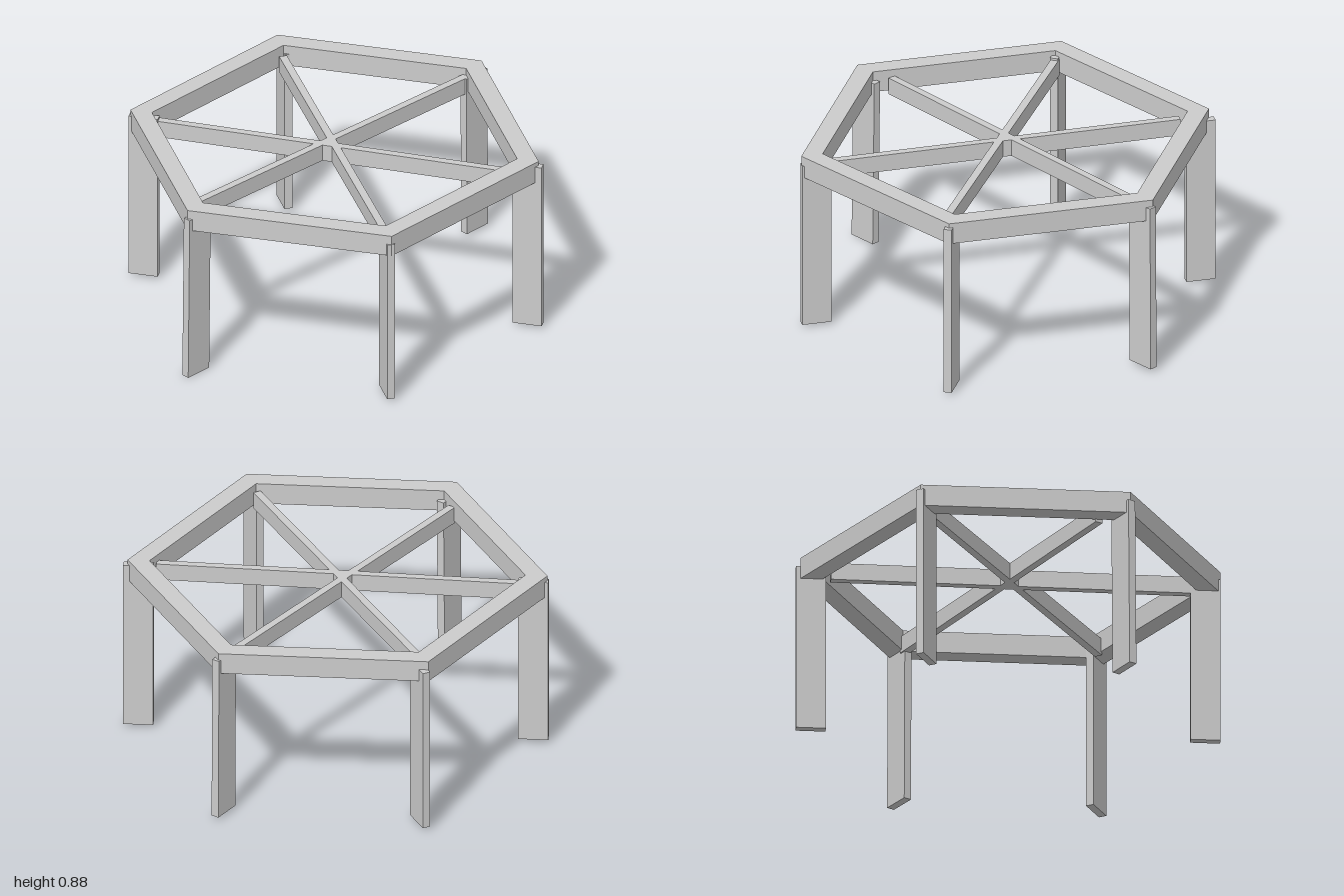
import * as THREE from 'three';

const material = new THREE.MeshStandardMaterial({ color: 0xcccccc, flatShading: true });

function hexagon(PathType, radius) {
  const points = [];
  for (let i = 0; i < 6; i++) {
    const a = i * Math.PI / 3;
    points.push(new THREE.Vector2(Math.cos(a) * radius, Math.sin(a) * radius));
  }
  return new PathType(points);
}

// Six-sided frame with an open middle
function makeFrame() {
  const shape = hexagon(THREE.Shape, 0.98);
  shape.holes.push(hexagon(THREE.Path, 0.877));
  const geometry = new THREE.ExtrudeGeometry(shape, { depth: 0.105, bevelEnabled: false });
  geometry.rotateX(-Math.PI / 2);
  const frame = new THREE.Mesh(geometry, material);
  frame.name = 'hexagonalFrame';
  frame.position.set(0, 0.78, -0.005);
  return frame;
}

// Upright board, placed by the middle of its outer edge, its wide side pointing to the centre
function makeLeg({ name, x, z, bottom, top, angle, lean }) {
  const a = THREE.MathUtils.degToRad(angle);
  const leg = new THREE.Mesh(new THREE.BoxGeometry(0.14, top - bottom, 0.038), material);
  leg.name = name;
  leg.position.set(x - 0.07 * Math.cos(a), (bottom + top) / 2, z - 0.07 * Math.sin(a));
  leg.rotation.set(0, -a, lean);
  return leg;
}

// Cross bar between two points [x, z]
function makeBar({ name, from, to }) {
  const dx = to[0] - from[0], dz = to[1] - from[1];
  const bar = new THREE.Mesh(new THREE.BoxGeometry(Math.hypot(dx, dz), 0.083, 0.037), material);
  bar.name = name;
  bar.position.set((from[0] + to[0]) / 2, 0.808, (from[1] + to[1]) / 2);
  bar.rotation.y = -Math.atan2(dz, dx);
  return bar;
}

export function createModel() {
  const model = new THREE.Group();
  model.name = 'hexagonalTableBase';
  model.add(makeFrame());

  // Legs, slightly uneven as if set by hand
  const legs = [
    { name: 'leftLeg', x: 0.992, z: 0.004, bottom: 0.017, top: 0.85, angle: 0, lean: 0.006 },
    { name: 'frontLeftLeg', x: 0.498, z: 0.861, bottom: 0.015, top: 0.863, angle: 60, lean: 0 },
    { name: 'frontRightLeg', x: -0.491, z: 0.842, bottom: 0.014, top: 0.84, angle: 120, lean: 0 },
    { name: 'rightLeg', x: -0.992, z: -0.003, bottom: 0.002, top: 0.84, angle: 180, lean: 0.012 },
    { name: 'backRightLeg', x: -0.491, z: -0.859, bottom: 0.018, top: 0.86, angle: 240, lean: 0 },
    { name: 'backLeftLeg', x: 0.518, z: -0.863, bottom: 0.015, top: 0.842, angle: 300, lean: 0 },
  ];
  for (const leg of legs) model.add(makeLeg(leg));

  // Three bars crossing inside the frame
  const bars = [
    { name: 'sideToSideBar', from: [-0.83, -0.08], to: [0.88, -0.002] },
    { name: 'frontRightToBackLeftBar', from: [-0.43, 0.745], to: [0.41, -0.74] },
    { name: 'backRightToFrontLeftBar', from: [-0.43, -0.76], to: [0.38, 0.755] },
  ];
  for (const bar of bars) model.add(makeBar(bar));

  return model;
}
